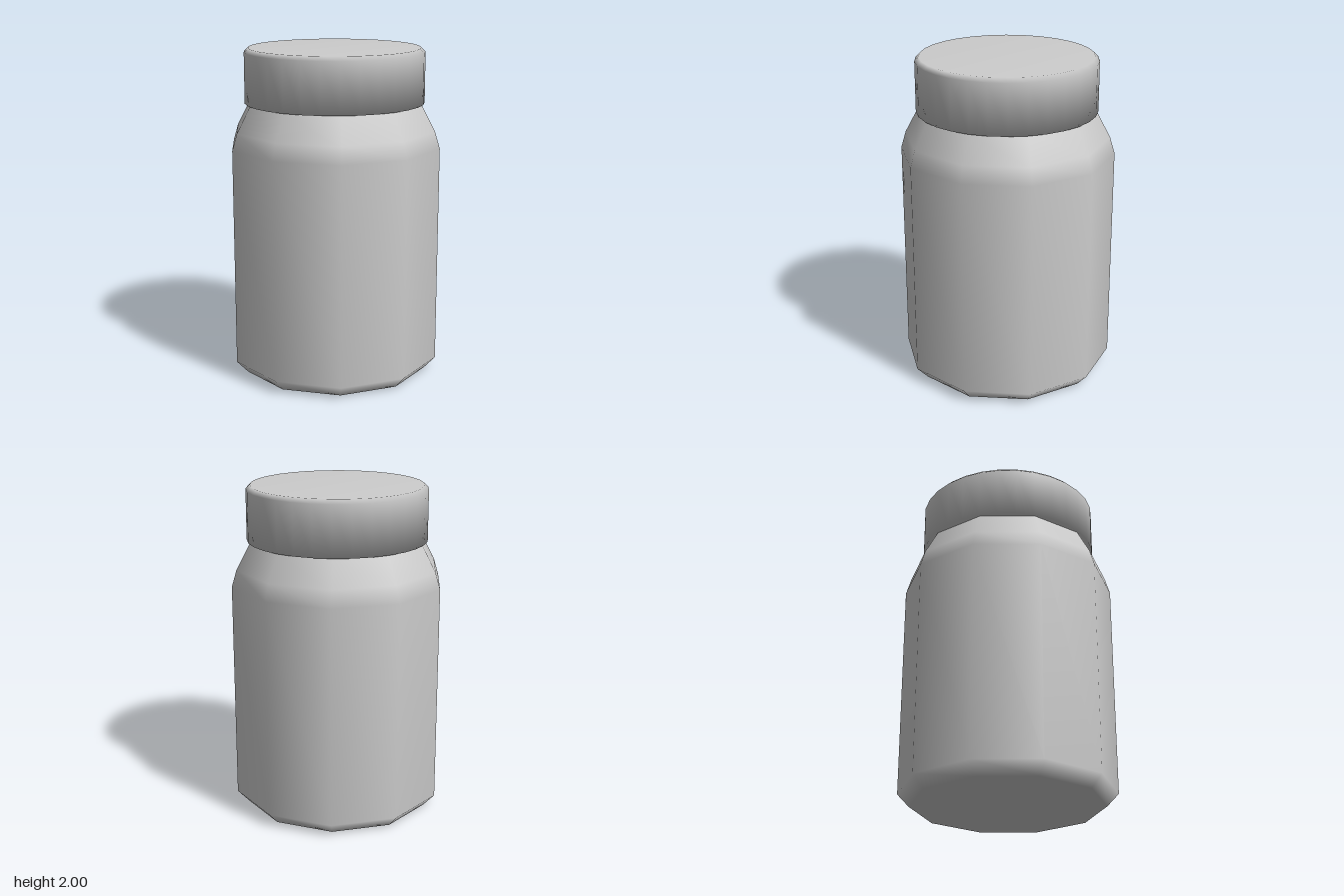
import * as THREE from 'three';

const grey = new THREE.MeshStandardMaterial({ color: 0xcccccc });
grey.name = 'light grey';

// Smooth turned part with a corner on the x axis
function turned(name, profile, sides) {
  const points = profile.map(([r, y]) => new THREE.Vector2(r, y));
  const mesh = new THREE.Mesh(new THREE.LatheGeometry(points, sides, Math.PI / 2), grey);
  mesh.name = name;
  return mesh;
}

export function createModel() {
  const model = new THREE.Group();
  model.name = 'jar';

  // Ten-sided body: chamfered foot, straight wall, sloping shoulder, neck hidden in the lid
  model.add(turned('body', [
    [0, 0], [0.58, 0.005], [0.65, 0.08], [0.65, 1.41],
    [0.62, 1.51], [0.535, 1.67], [0.52, 1.7], [0, 1.7],
  ], 10));

  // Rounder lid with a small bevel on the top edge
  model.add(turned('lid', [
    [0, 1.67], [0.545, 1.67], [0.545, 1.975], [0.52, 2], [0, 2],
  ], 30));

  return model;
}
